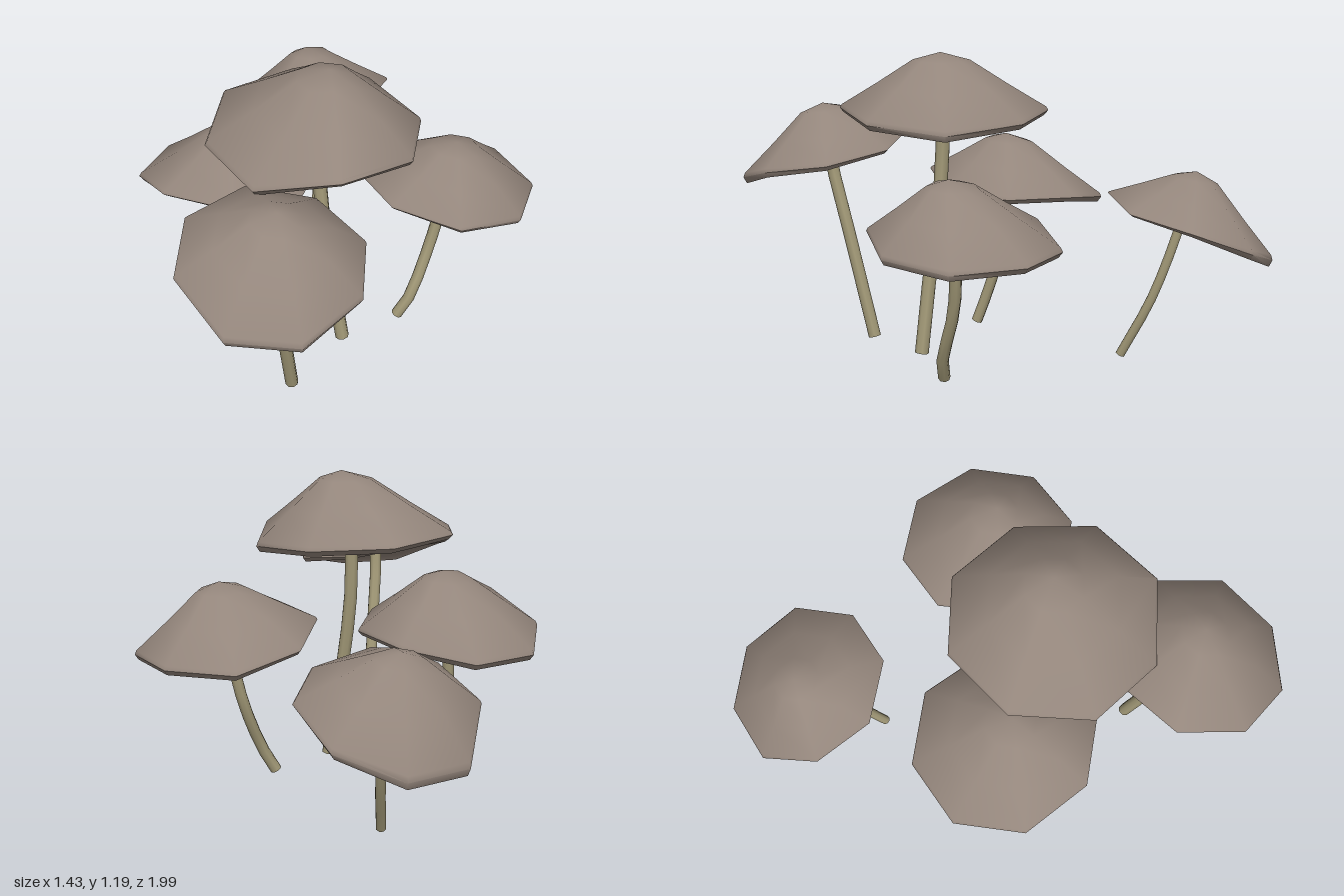
import * as THREE from 'three';
import { mergeGeometries, toCreasedNormals } from 'three/addons/utils/BufferGeometryUtils.js';

const SIDES = 8;

// Cap section: share of the way from apex to rim, and share of the height
const SECTION = [
  [0, 1], [0.27, 0.87], [0.62, 0.47], [0.98, 0.08], [1, 0.02],
  [0.96, -0.06], [0.91, 0.02], [0.58, 0.38], [0.25, 0.74], [0, 0.84],
];

// Eight-sided cap on a tilted, wavy rim, with an off-centre apex, a thin lip and a hollow underside
function capGeometry({ apex: [ax, ay, az], centre: [cx, cy, cz], size, turn, tilt: [tiltX, tiltZ], waves }) {
  const pos = [], index = [];
  for (const [t, h] of SECTION) {
    for (let i = 0; i < SIDES; i++) {
      const angle = turn + (i / SIDES) * Math.PI * 2;
      const dx = size * Math.sin(angle), dz = -size * Math.cos(angle);
      // The peaks ignore the tilt so that each stays a single point
      const rimY = t > 0 ? cy + tiltX * dx + tiltZ * dz + waves[i] / 100 : cy;
      pos.push(ax + t * (cx + dx - ax), rimY + h * (ay - rimY), az + t * (cz + dz - az));
    }
  }
  // The first and last rings are peaks, so each needs one triangle per side
  const last = SECTION.length - 2;
  for (let j = 0; j <= last; j++) {
    for (let i = 0; i < SIDES; i++) {
      const a = j * SIDES + i, b = j * SIDES + ((i + 1) % SIDES);
      const c = a + SIDES, d = b + SIDES;
      if (j > 0) index.push(a, b, c);
      if (j < last) index.push(b, d, c);
    }
  }
  const geo = new THREE.BufferGeometry();
  geo.setAttribute('position', new THREE.Float32BufferAttribute(pos, 3));
  geo.setIndex(index);
  return toCreasedNormals(geo, 0.95);
}

// Bent stem with a closed foot
function stemGeometry(points, radius) {
  const curve = new THREE.CatmullRomCurve3(points.map((p) => new THREE.Vector3(...p)));
  const tube = new THREE.TubeGeometry(curve, 8, radius, 8);
  const foot = new THREE.CircleGeometry(radius, 8);
  const down = curve.getTangent(0).negate();
  foot.applyQuaternion(new THREE.Quaternion().setFromUnitVectors(new THREE.Vector3(0, 0, 1), down));
  foot.translate(...points[0]);
  return mergeGeometries([tube, foot]);
}

export function createModel() {
  const capMaterial = new THREE.MeshStandardMaterial({ color: 0x94867c });
  capMaterial.name = 'capBrown';
  const stemMaterial = new THREE.MeshStandardMaterial({ color: 0xa39a78 });
  stemMaterial.name = 'stemTan';

  const model = new THREE.Group();
  model.name = 'mushroomCluster';

  function addMushroom(name, capShape, stemPoints, stemRadius) {
    const mushroom = new THREE.Group();
    mushroom.name = name;
    const cap = new THREE.Mesh(capGeometry(capShape), capMaterial);
    cap.name = 'cap';
    const stem = new THREE.Mesh(stemGeometry(stemPoints, stemRadius), stemMaterial);
    stem.name = 'stem';
    mushroom.add(cap, stem);
    model.add(mushroom);
  }

  // Waves raise or lower the rim corners in hundredths, running back, right, front, left
  addMushroom('tallMushroom', {
    apex: [0.075, 1.19, 0.11], centre: [0.025, 0.94, 0.135], size: 0.398, turn: 0.06,
    tilt: [-0.02, -0.01], waves: [0, -2, 1, 4, -3, -1, 2, 1],
  }, [[0.15, 0.02, 0.15], [0.095, 0.35, 0.15], [0.045, 0.72, 0.135], [0.045, 1.1, 0.12]], 0.027);

  addMushroom('frontMushroom', {
    apex: [0.17, 0.965, 0.655], centre: [0.15, 0.75, 0.665], size: 0.332, turn: -0.03,
    tilt: [-0.19, -0.2], waves: [-2, 0, 3, 0, -1, 3, 2, 0],
  }, [[0.095, 0.01, 0.46], [0.12, 0.45, 0.575], [0.135, 0.73, 0.65], [0.15, 0.89, 0.66]], 0.025);

  addMushroom('backMushroom', {
    apex: [-0.46, 0.755, -0.69], centre: [-0.413, 0.555, -0.695], size: 0.308, turn: 0.24,
    tilt: [0.27, 0.28], waves: [1, 1, -2, 0, 1, 3, -3, -1],
  }, [[-0.31, 0.03, -0.47], [-0.35, 0.28, -0.585], [-0.41, 0.6, -0.67], [-0.43, 0.69, -0.68]], 0.019);

  addMushroom('rightMushroom', {
    apex: [-0.34, 0.835, 0.12], centre: [-0.37, 0.62, 0.095], size: 0.352, turn: 0.2,
    tilt: [0.08, 0.11], waves: [3, 0, -3, 1, 4, -1, -2, 0],
  }, [[-0.31, 0.02, 0.25], [-0.325, 0.1, 0.225], [-0.355, 0.38, 0.15], [-0.35, 0.77, 0.12]], 0.023);

  addMushroom('leftMushroom', {
    apex: [0.43, 0.8, -0.235], centre: [0.385, 0.59, -0.265], size: 0.343, turn: 0.22,
    tilt: [-0.08, 0.13], waves: [1, 0, -1, -1, 1, 1, -1, -2],
  }, [[0.28, 0.01, -0.08], [0.318, 0.09, -0.105], [0.36, 0.33, -0.2], [0.42, 0.73, -0.25]], 0.023);

  return model;
}
